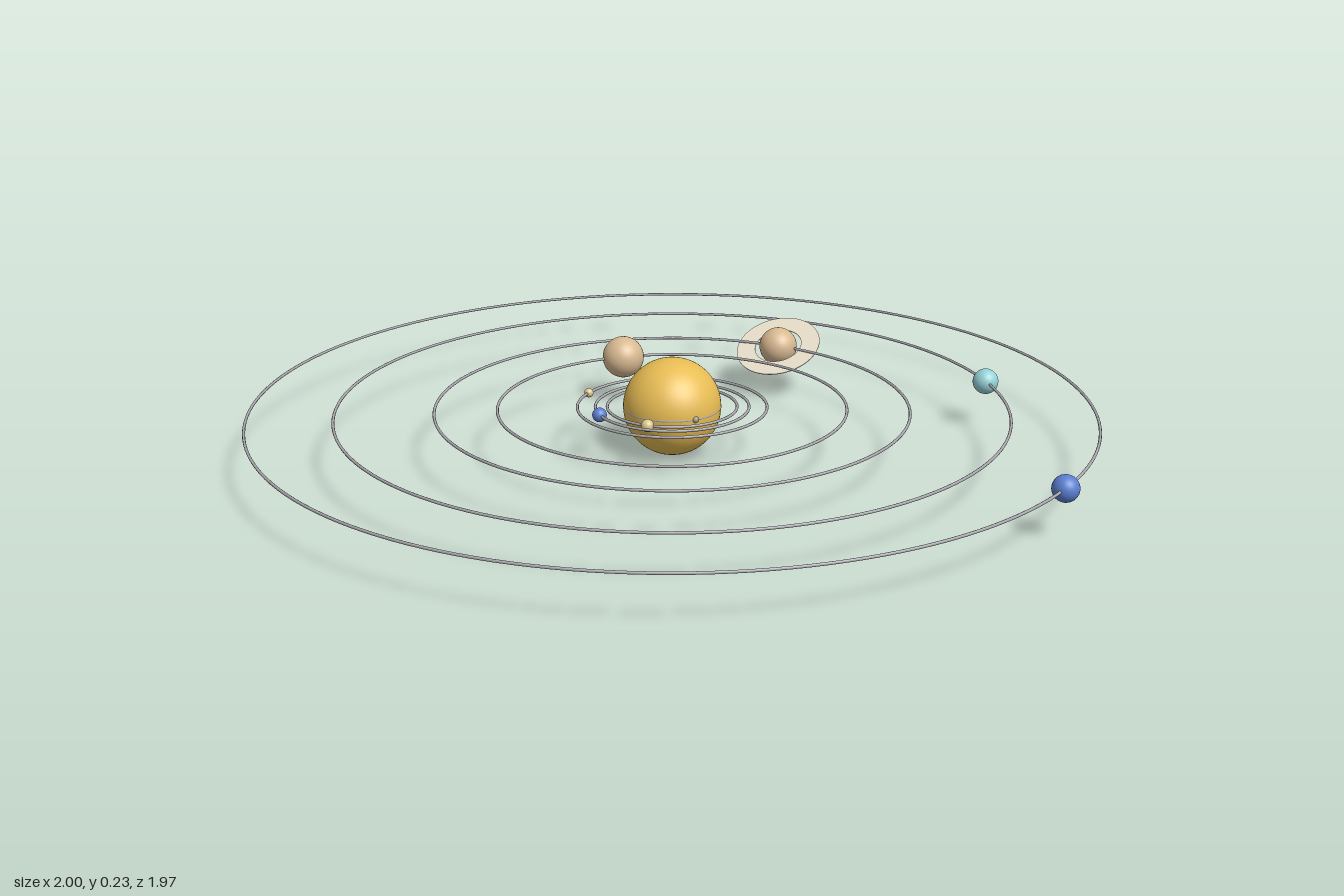
import * as THREE from 'three';

const CENTRE_X = -0.0125;
const SUN_RADIUS = 0.115;
const ORBIT_TUBE = 0.0035;

function material(name, color) {
  const m = new THREE.MeshStandardMaterial({ color });
  m.name = name;
  return m;
}

// Flat annulus with a slight thickness
function annulus(inner, outer, depth) {
  const shape = new THREE.Shape().absarc(0, 0, outer, 0, Math.PI * 2);
  shape.holes.push(new THREE.Path().absarc(0, 0, inner, 0, Math.PI * 2, true));
  return new THREE.ExtrudeGeometry(shape, { depth, bevelEnabled: false, curveSegments: 64 })
    .translate(0, 0, -depth / 2);
}

export function createModel() {
  const gold = material('sun gold', 0xe8bd54);
  const silver = material('orbit grey', 0xa8a8ae);
  const stone = material('stone grey', 0xa39b90);
  const sand = material('sand', 0xdcc890);
  const tan = material('tan', 0xd8b991);
  const blue = material('blue', 0x5a7fd0);
  const teal = material('pale teal', 0x96d2d7);
  const cream = material('ring cream', 0xe6dcc8);

  const group = new THREE.Group();
  group.name = 'planetSystem';
  group.position.set(CENTRE_X, SUN_RADIUS, 0);

  function add(name, geometry, mat, parent = group) {
    const mesh = new THREE.Mesh(geometry, mat);
    mesh.name = name;
    parent.add(mesh);
    return mesh;
  }

  add('sun', new THREE.SphereGeometry(SUN_RADIUS, 48, 32), gold);

  // name, orbit radius, direction towards the planet (x, z), planet radius, material
  const planets = [
    ['firstPlanet', 0.112, 0.095, 0.06, 0.008, stone],
    ['secondPlanet', 0.152, 0.02, 0.148, 0.015, sand],
    ['thirdPlanet', 0.18, -0.113, 0.138, 0.017, blue],
    ['fourthPlanet', 0.222, -0.22, 0.012, 0.011, sand],
    ['fifthPlanet', 0.408, -0.3, -0.279, 0.052, tan],
    ['ringedPlanet', 0.554, 0, -0.554, 0.048, tan],
    ['seventhPlanet', 0.784, 0.572, -0.537, 0.031, teal],
    ['eighthPlanet', 0.983, 0.981, 0.068, 0.03, blue],
  ];

  for (const [name, orbit, dx, dz, radius, mat] of planets) {
    // Thin circular track lying flat
    const track = add(name + 'Orbit', new THREE.TorusGeometry(orbit, ORBIT_TUBE, 8, 160), silver);
    track.rotation.x = Math.PI / 2;

    const k = orbit / Math.hypot(dx, dz);
    const planet = add(name, new THREE.SphereGeometry(radius, 32, 20), mat);
    planet.position.set(dx * k, 0, dz * k);

    // Flat ring, raised at the back
    if (name === 'ringedPlanet') {
      const ring = add('planetRing', annulus(0.06, 0.108, 0.002), cream, planet);
      ring.rotation.x = -Math.PI / 2 + THREE.MathUtils.degToRad(26.7);
    }
  }

  const model = new THREE.Group();
  model.name = 'solarSystemModel';
  model.add(group);
  return model;
}
